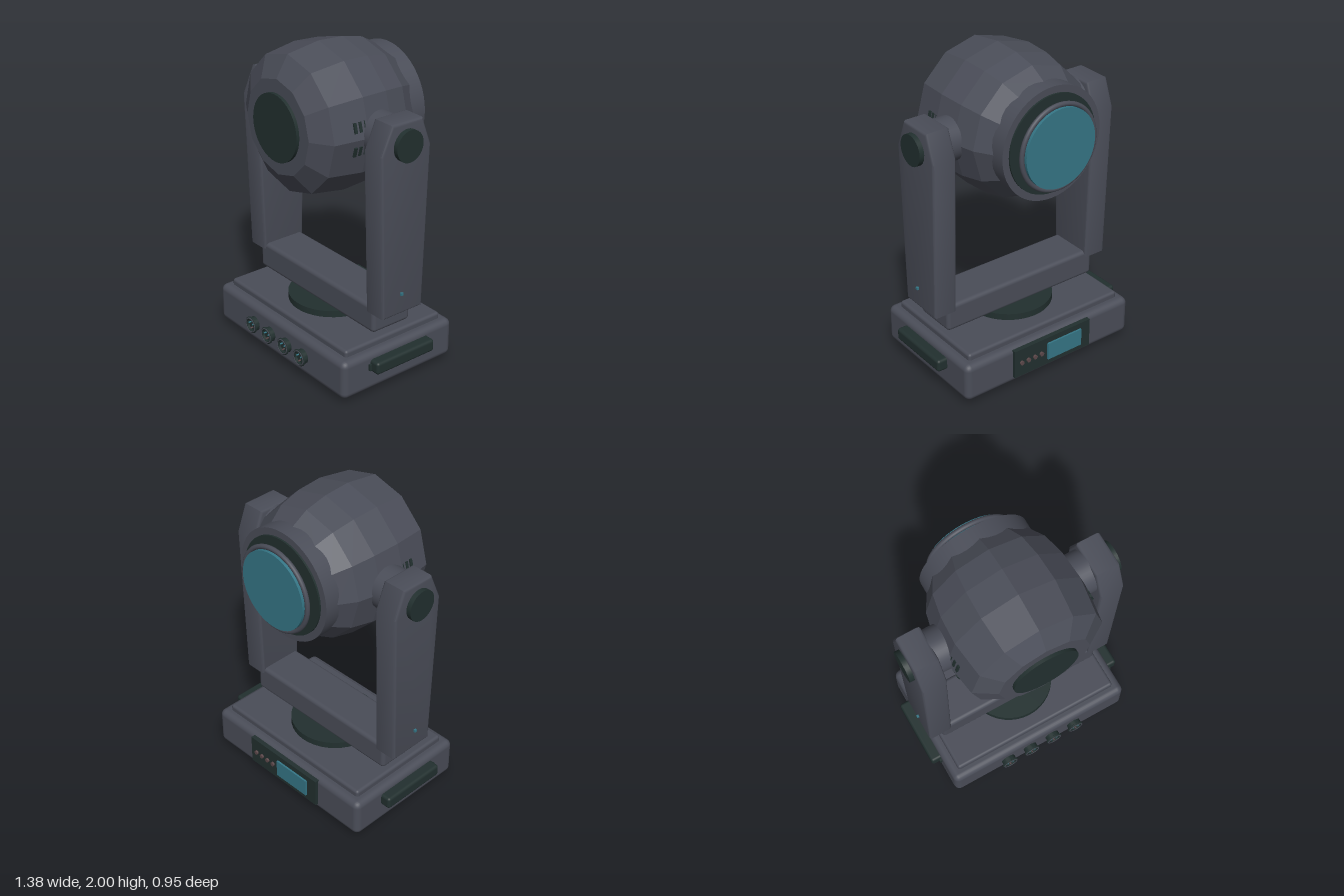
import * as THREE from 'three';
import { toCreasedNormals } from 'three/addons/utils/BufferGeometryUtils.js';
import { RoundedBoxGeometry } from 'three/addons/geometries/RoundedBoxGeometry.js';

const mat = (name, color) => {
  const m = new THREE.MeshStandardMaterial({ color });
  m.name = name;
  return m;
};

export function createModel() {
  const body = mat('slate housing', 0x4a4d58);
  const dark = mat('dark green rubber', 0x22302f);
  const cyan = mat('teal glass', 0x357686);
  const buttonGrey = mat('muted button', 0x5c484a);

  const model = new THREE.Group();
  model.name = 'movingHeadLight';
  const group = (name) => {
    const g = new THREE.Group();
    g.name = name;
    model.add(g);
    return g;
  };
  const add = (parent, name, geo, material, x = 0, y = 0, z = 0) => {
    const m = new THREE.Mesh(geo, material);
    m.name = name;
    m.position.set(x, y, z);
    parent.add(m);
    return m;
  };
  const rbox = (w, h, d, r) => new RoundedBoxGeometry(w, h, d, 3, r);
  const box = (w, h, d) => new THREE.BoxGeometry(w, h, d);
  // Cylinders lying along each axis
  const cylY = (r, l, n = 32) => new THREE.CylinderGeometry(r, r, l, n);
  const cylX = (r, l, n = 32) => cylY(r, l, n).rotateZ(Math.PI / 2);
  const cylZ = (r, l, n = 32) => cylY(r, l, n).rotateX(Math.PI / 2);
  // Revolved profile of [radius, z] points around the z axis
  const latheZ = (pts, n) =>
    new THREE.LatheGeometry(pts.map(([r, z]) => new THREE.Vector2(r, z)), n).rotateX(Math.PI / 2);

  const PZ = 0.015;   // pan and tilt axis
  const HY = 1.548;   // tilt axis height

  // Base with lid, feet and side handles
  const base = group('base');
  add(base, 'baseHousing', rbox(1.25, 0.25, 0.85, 0.04), body, 0, 0.16, 0.01);
  add(base, 'baseLid', rbox(1.14, 0.08, 0.735, 0.018), body, 0, 0.285, 0.008);
  add(base, 'turntable', cylY(0.275, 0.05, 40), dark, 0, 0.342, PZ);
  for (const s of [-1, 1]) {
    for (const z of [0.305, -0.275]) add(base, 'foot', cylY(0.057, 0.05, 24), dark, s * 0.475, 0.025, z);
    add(base, 'handle', rbox(0.085, 0.08, 0.445, 0.018), dark, s * 0.6475, 0.205, 0.012);
    add(base, 'handleMount', box(0.02, 0.04, 0.02), dark, s * 0.63, 0.2, 0.24);
  }

  // Row of round sockets on the front
  const socketGeo = toCreasedNormals(latheZ([
    [0.046, 0], [0.046, 0.028], [0.054, 0.03], [0.054, 0.036], [0.048, 0.04],
    [0.039, 0.04], [0.039, 0.022], [0, 0.022]], 28), 0.5);
  for (const x of [-0.244, -0.082, 0.082, 0.244]) {
    const socket = new THREE.Group();
    socket.name = 'socket';
    socket.position.set(x, 0.165, 0.433);
    base.add(socket);
    add(socket, 'socketShell', socketGeo, dark);
    add(socket, 'socketRim', new THREE.TorusGeometry(0.045, 0.004, 6, 28), body, 0, 0, 0.039);
    for (let i = 0; i < 3; i++) {
      const a = Math.PI * (0.17 + i * 2 / 3);
      add(socket, 'pin', cylZ(0.005, 0.018, 8), i === 2 ? buttonGrey : cyan,
        Math.cos(a) * 0.021, Math.sin(a) * 0.021, 0.03);
    }
  }

  // Control panel on the back
  const panel = group('controlPanel');
  add(panel, 'panelPlate', box(0.58, 0.19, 0.03), dark, 0, 0.175, -0.42);
  add(panel, 'screen', box(0.26, 0.115, 0.012), cyan, -0.085, 0.175, -0.441);
  for (let i = 0; i < 4; i++)
    add(panel, 'button', cylZ(0.014, 0.014, 12), buttonGrey, 0.24 - i * 0.05, 0.175, -0.44);

  // Yoke: cross bar and two tapered arms
  const yoke = group('yoke');
  add(yoke, 'crossBar', rbox(1.11, 0.175, 0.285, 0.025), body, 0, 0.4425, PZ);
  const b = 0.016;
  const outline = new THREE.Shape([
    [0.165 - b, 0.49 + b], [0.196 - b, 1.51], [0.127 - b, 1.683 - b],
    [-0.106 + b, 1.683 - b], [-0.166 + b, 1.51], [-0.135 + b, 0.49 + b],
  ].map(([z, y]) => new THREE.Vector2(z, y)));
  const armGeo = toCreasedNormals(new THREE.ExtrudeGeometry(outline, {
    depth: 0.155 - 2 * b, bevelEnabled: true, bevelSize: b, bevelThickness: b, bevelSegments: 3,
  }).translate(0, 0, -(0.155 - 2 * b) / 2).rotateY(-Math.PI / 2), 0.6);
  for (const s of [-1, 1]) {
    add(yoke, 'arm', armGeo, body, s * 0.5725, 0, 0);
    add(yoke, 'pivotCap', cylX(0.096, 0.06), dark, s * 0.65, HY, PZ);
    add(yoke, 'pivotHub', cylX(0.133, 0.2, 40), body, s * 0.42, HY, PZ);
    add(yoke, 'indicator', box(0.02, 0.016, 0.016), cyan, s * 0.654, 0.625, 0.033);
  }

  // Twelve-sided faceted head
  const head = group('head');
  head.position.y = HY;
  const shell = latheZ([
    [0, -0.385], [0.3, -0.385], [0.348, -0.31], [0.41, -0.205], [0.442, -0.06],
    [0.452, 0.115], [0.418, 0.335], [0.29, 0.415], [0, 0.415]], 12).toNonIndexed();
  shell.computeVertexNormals();
  add(head, 'headShell', shell, body);
  add(head, 'frontDisc', cylZ(0.205, 0.03, 40), dark, 0, 0, 0.42);

  // Cooling slots on both sides
  for (const s of [-1, 1])
    for (const y of [0.07, -0.07])
      for (const z of [0.125, 0.16, 0.195]) {
        const slot = add(head, 'vent', box(0.02, 0.06, 0.018), dark, s * 0.421, y, z);
        slot.rotation.z = s * Math.sign(y) * Math.PI / 12;
      }

  // Lens collar, bezel and glass facing the back
  add(head, 'lensCollar', cylZ(0.348, 0.143, 48), body, 0, 0, -0.3215);
  add(head, 'collarPlate', cylZ(0.305, 0.02, 48), dark, 0, 0, -0.394);
  add(head, 'lensBezel', new THREE.TorusGeometry(0.258, 0.015, 10, 48), body, 0, 0, -0.449);
  add(head, 'lens', cylZ(0.245, 0.03, 48), cyan, 0, 0, -0.46);

  return model;
}
